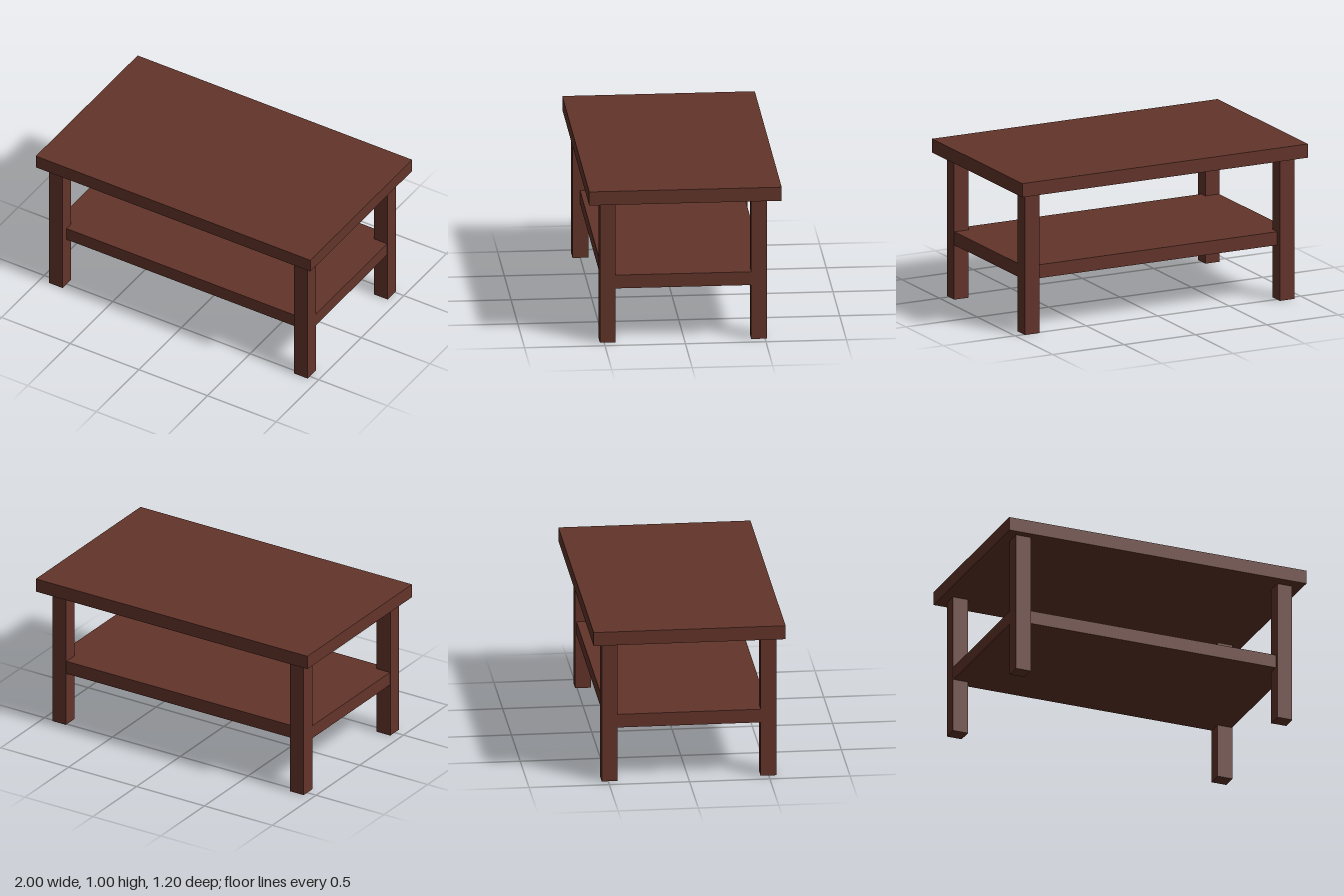
import * as THREE from 'three';

export function createModel() {
  const table = new THREE.Group();
  table.name = 'coffeeTable';
  const wood = new THREE.MeshStandardMaterial({ color: 0x63342a, flatShading: true });

  // Box placed by the height of its underside
  function board(name, width, height, depth, x, bottom, z) {
    const mesh = new THREE.Mesh(new THREE.BoxGeometry(width, height, depth), wood);
    mesh.name = name;
    mesh.position.set(x, bottom + height / 2, z);
    table.add(mesh);
  }

  board('tableTop', 2, 0.088, 1.196, 0, 0.912, 0);
  board('shelf', 1.864, 0.086, 1.004, 0, 0.349, -0.001);

  // Square legs; the pair on the right stands slightly further forward
  const legs = [
    ['frontLeftLeg', 0.885, 0.477],
    ['backLeftLeg', 0.885, -0.463],
    ['frontRightLeg', -0.885, 0.499],
    ['backRightLeg', -0.885, -0.491],
  ];
  for (const [name, x, z] of legs) board(name, 0.1, 0.912, 0.098, x, 0, z);

  return table;
}
